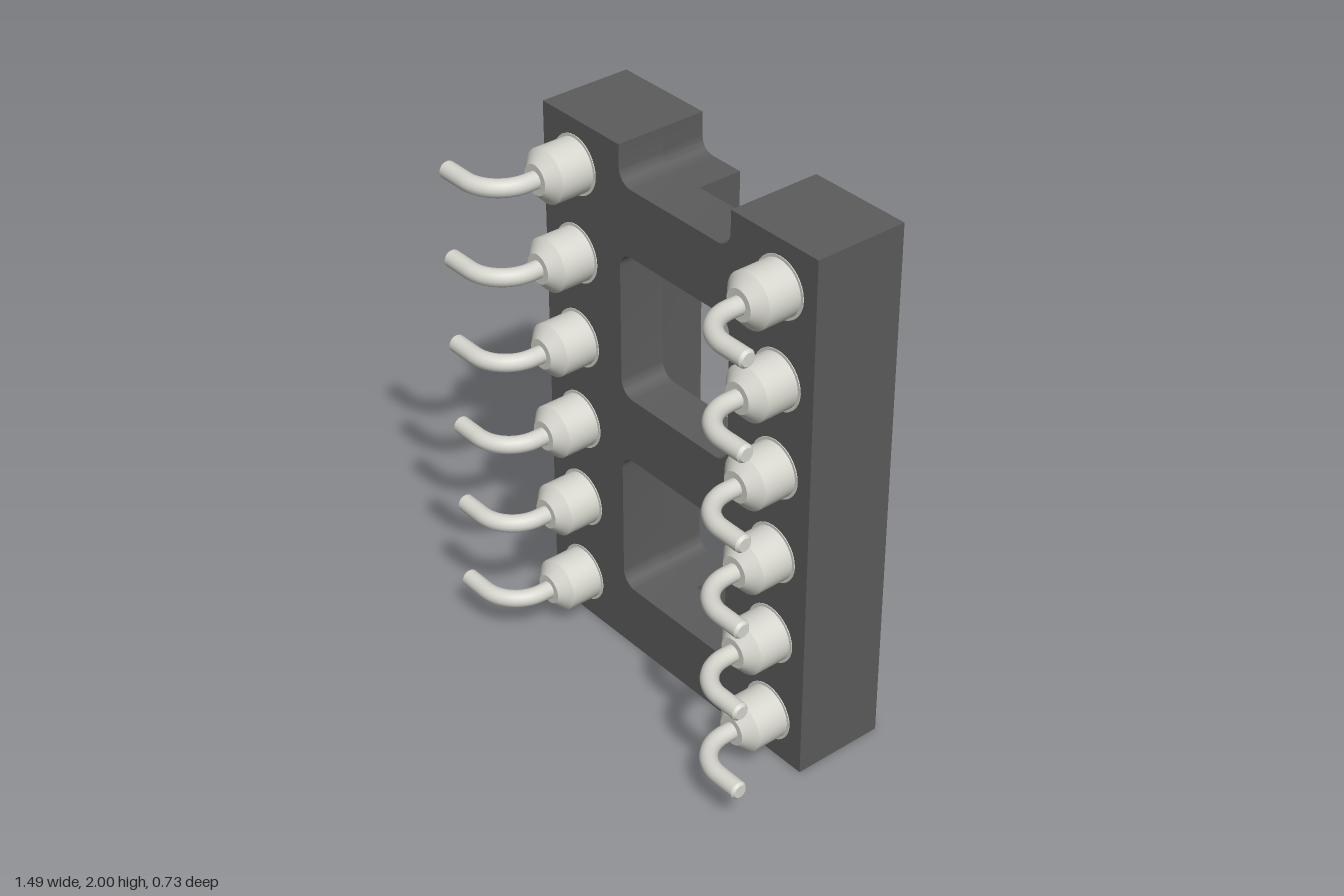
import * as THREE from 'three';
import { toCreasedNormals } from 'three/addons/utils/BufferGeometryUtils.js';

const W = 0.665, IN = 0.272, R = 0.06;      // half width, inner rail edge, fillet radius
const Z_BACK = -0.36, Z_MID = -0.19, Z_FRONT = -0.01;
const PIN_X = 0.5;
const pinY = [0, 1, 2, 3, 4, 5].map((i) => 1 / 6 + i / 3);

function addHoles(shape, sides) {
  for (const s of sides) for (const y of pinY) {
    shape.holes.push(new THREE.Path().absarc(s * PIN_X, y, 0.1, 0, Math.PI * 2, true));
  }
}

function extrude(shape, z0, z1) {
  const g = new THREE.ExtrudeGeometry(shape, { depth: z1 - z0, bevelEnabled: false, curveSegments: 10 });
  g.translate(0, 0, z0);
  return toCreasedNormals(g, 0.6);
}

function roundedWindow(y0, y1) {
  const p = new THREE.Path();
  p.absarc(IN - R, y0 + R, R, 0, -Math.PI / 2, true);
  p.absarc(-IN + R, y0 + R, R, -Math.PI / 2, -Math.PI, true);
  p.absarc(-IN + R, y1 - R, R, Math.PI, Math.PI / 2, true);
  p.absarc(IN - R, y1 - R, R, Math.PI / 2, 0, true);
  p.closePath();
  return p;
}

// Front plate: two rails joined by three cross bars, notched at the top
function framePlate() {
  const s = new THREE.Shape();
  s.moveTo(-W, 0);
  s.lineTo(W, 0);
  s.lineTo(W, 2);
  s.lineTo(IN, 2);
  s.absarc(IN - R, 1.86 + R, R, 0, -Math.PI / 2, true);
  s.absarc(-IN + R, 1.86 + R, R, -Math.PI / 2, -Math.PI, true);
  s.lineTo(-IN, 2);
  s.lineTo(-W, 2);
  s.closePath();
  s.holes.push(roundedWindow(0.25, 0.805), roundedWindow(1.055, 1.61));
  addHoles(s, [1, -1]);
  return extrude(s, Z_MID, Z_FRONT);
}

// Rear half of a rail, with filleted stubs reaching inwards to x = tip
function rearRail(side, tip) {
  const s = new THREE.Shape();
  const line = (x, y) => s.lineTo(side * x, y);
  const curve = (cx, cy, x, y) => s.quadraticCurveTo(side * cx, cy, side * x, y);
  s.moveTo(side * W, 0);
  line(W, 2);
  line(IN, 2);
  for (const [top, bottom] of [[1.86, 1.61], [0.25, R]]) {
    line(IN, top + R);
    curve(IN, top, IN - R, top);
    line(tip, top);
    line(tip, bottom);
    line(IN - R, bottom);
    curve(IN, bottom, IN, bottom - R);
  }
  s.closePath();
  addHoles(s, [side]);
  return extrude(s, Z_BACK, Z_MID);
}

// Turned contact: funnel and bore at the rear, barrel and cone at the front
function contactGeometry() {
  const profile = [
    [0, -0.08], [0.038, -0.08], [0.038, -0.275], [0.1, -0.367], [0.111, -0.367],
    [0.111, -0.358], [0.098, -0.358], [0.098, -0.012], [0.108, -0.012], [0.108, -0.007],
    [0.098, -0.007], [0.098, 0.115], [0.055, 0.155], [0, 0.155],
  ].map(([r, z]) => new THREE.Vector2(r, z));
  const g = new THREE.LatheGeometry(profile, 32);
  g.rotateX(Math.PI / 2);
  return toCreasedNormals(g, 0.5);
}

// Round lead leaving the contact forwards and bending outwards
function leadGeometry() {
  const bend = 0.14, z = 0.33, k = 0.448 * bend;
  const path = new THREE.CurvePath();
  const v = (x, zz) => new THREE.Vector3(x, 0, zz);
  path.add(new THREE.LineCurve3(v(0, 0.13), v(0, z - bend)));
  path.add(new THREE.CubicBezierCurve3(v(0, z - bend), v(0, z - k), v(k, z), v(bend, z)));
  path.add(new THREE.LineCurve3(v(bend, z), v(0.237, z)));
  return new THREE.TubeGeometry(path, 28, 0.032, 16);
}

// Chamfered lead end
function leadTipGeometry() {
  const g = new THREE.CylinderGeometry(0.024, 0.032, 0.01, 16);
  g.rotateZ(-Math.PI / 2);
  g.translate(0.242, 0, 0.33);
  return g;
}

export function createModel() {
  const model = new THREE.Group();
  const plastic = new THREE.MeshStandardMaterial({ color: 0x5c5c5c });
  const metal = new THREE.MeshStandardMaterial({ color: 0xd6d6ce });
  const add = (parent, name, geometry, material) => {
    const mesh = new THREE.Mesh(geometry, material);
    mesh.name = name;
    parent.add(mesh);
    return mesh;
  };

  const body = new THREE.Group();
  body.name = 'socketBody';
  add(body, 'framePlate', framePlate(), plastic);
  add(body, 'leftRearRail', rearRail(1, 0.205), plastic);
  add(body, 'rightRearRail', rearRail(-1, 0.085), plastic);
  model.add(body);

  const contact = contactGeometry(), lead = leadGeometry(), tip = leadTipGeometry();
  for (const side of [1, -1]) for (const y of pinY) {
    const pin = new THREE.Group();
    pin.name = side > 0 ? 'leftPin' : 'rightPin';
    pin.position.set(side * PIN_X, y, 0);
    add(pin, 'contact', contact, metal);
    const wire = new THREE.Group();
    wire.name = 'lead';
    add(wire, 'leadWire', lead, metal);
    add(wire, 'leadTip', tip, metal);
    wire.scale.x = side;
    pin.add(wire);
    model.add(pin);
  }
  return model;
}
